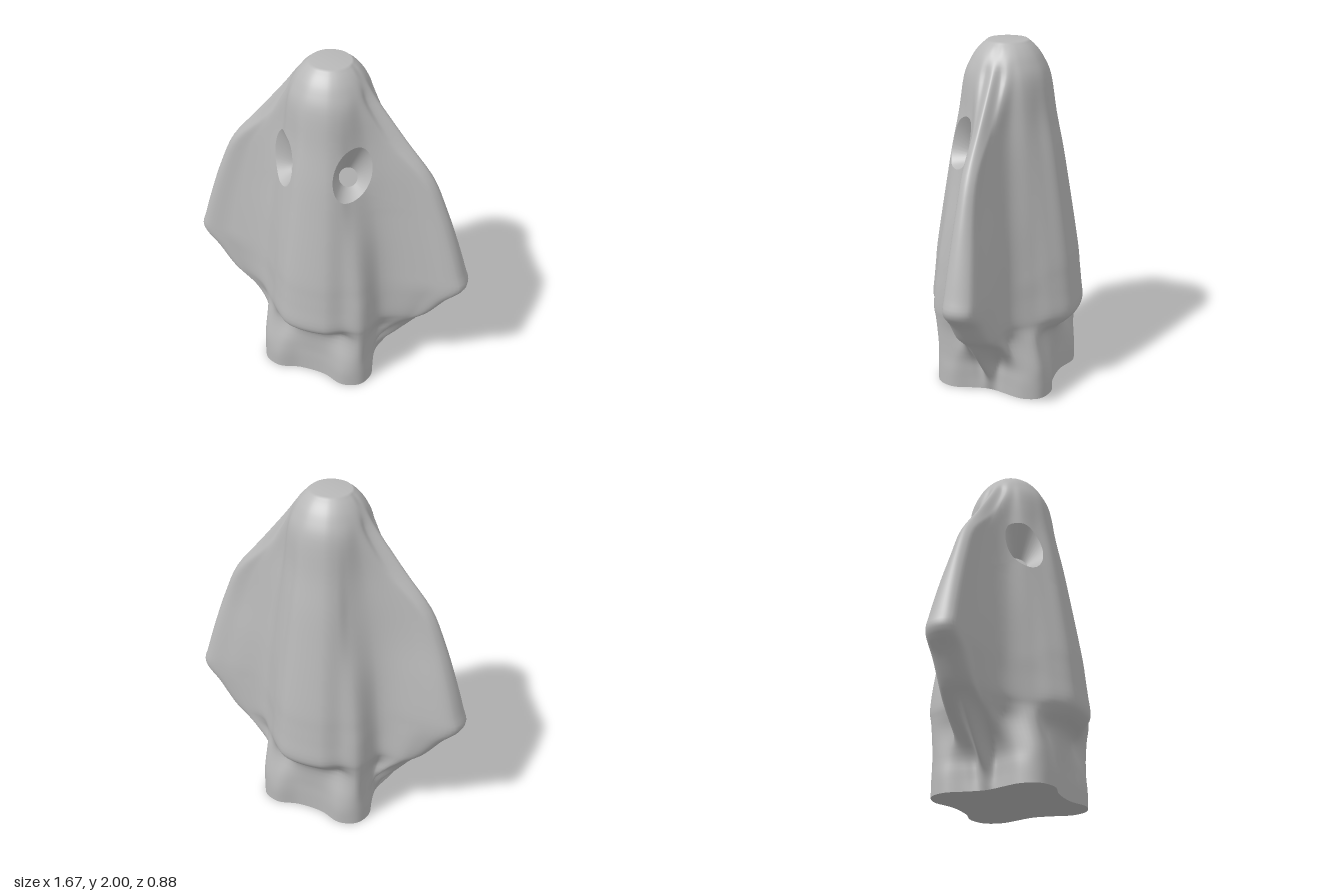
import * as THREE from 'three';
import { mergeVertices } from 'three/addons/utils/BufferGeometryUtils.js';

// Cross-section rows: height, wing reach, body depth, crease x, right and left lobe radius
const ROWS = [
  [0.00, 0.30, 0.30, 0.30, 0.44, 0.42],
  [0.10, 0.34, 0.30, 0.31, 0.44, 0.42],
  [0.20, 0.42, 0.30, 0.32, 0.44, 0.41],
  [0.34, 0.53, 0.32, 0.36, 0.45, 0.39],
  [0.42, 0.59, 0.395, 0.38, 0.455, 0.38],
  [0.48, 0.65, 0.425, 0.39, 0.46, 0.38],
  [0.60, 0.74, 0.415, 0.385, 0.45, 0.37],
  [0.70, 0.83, 0.405, 0.38, 0.435, 0.365],
  [0.80, 0.81, 0.395, 0.37, 0.42, 0.355],
  [1.00, 0.75, 0.365, 0.35, 0.38, 0.335],
  [1.20, 0.68, 0.333, 0.32, 0.33, 0.31],
  [1.40, 0.59, 0.30, 0.29, 0.288, 0.283],
  [1.60, 0.43, 0.263, 0.25, 0.255, 0.255],
  [1.80, 0.272, 0.237, 0.20, 0.23, 0.23],
  [1.90, 0.20, 0.197, 0.17, 0.19, 0.19],
  [1.96, 0.15, 0.155, 0.14, 0.15, 0.15],
  [2.00, 0.11, 0.11, 0.10, 0.11, 0.11],
];
const ANGLES = [0, 12, 22, 33, 46, 60, 75, 103, 122, 140, 150, 160, 170];
// Foot section with four rounded lobes: angle and radius
const FOOT = [[0, 0.3], [9, 0.31], [19, 0.34], [32, 0.41], [45, 0.44], [59, 0.41], [76, 0.32],
  [104, 0.32], [121, 0.4], [135, 0.43], [148, 0.4], [161, 0.34], [171, 0.31]];
const COLS = 26, SUB_U = 6, SUB_V = 4;
const NU = COLS * SUB_U, VMAX = ROWS.length - 1, NV = VMAX * SUB_V;
const { lerp, degToRad, smoothstep } = THREE.MathUtils;
const polar = (deg, r) => [r * Math.cos(degToRad(deg)), r * Math.sin(degToRad(deg))];

// Folded cloth section: half of it listed, the other half turned by 180 degrees
function section([y, W, D, c, A, B]) {
  const s = D / 0.42;
  const t = 0.1 - 0.04 * smoothstep(y, 0.4, 1.5); // wing thickness
  const k = 1 - smoothstep(y, 1.45, 1.97); // folds fade into a round crown
  const foot = 1 - smoothstep(y, 0.1, 0.46); // share of the foot section
  const fold = [
    [W, 0], [W - 0.03, t * 0.7], [(W + c) / 2 + 0.02, t], [c, 0.42 * D],
    polar(46, A),
    [0.22 * s, 0.87 * D], [0.12 * s, D], [-0.1 * s, D], [-0.2 * s, 0.82 * D],
    polar(138, B),
    [-c, 0.36 * D], [-(W + c) / 2 - 0.02, t * 0.85], [-(W - 0.03), t * 0.65],
  ];
  const half = fold.map(([x, z], i) => {
    if (i === 0) return new THREE.Vector3(W, y, 0);
    const [fx, fz] = polar(...FOOT[i]), [cx, cz] = polar(ANGLES[i], D);
    return new THREE.Vector3(lerp(cx, lerp(x, fx, foot), k), y, lerp(cz, lerp(z, fz, foot), k));
  });
  // The wings are fuller behind
  const full = 1 + 0.5 * smoothstep(y, 0.1, 0.4) * (1 - smoothstep(y, 0.8, 1.4));
  const back = half.map((p, i) => new THREE.Vector3(
    -p.x, y, -p.z * (i < 3 || i > 10 ? full : 1)));
  return [...half, ...back];
}

// Smooth surface: u runs round the body, v runs up the rows
const sections = ROWS.map(section);
const columns = Array.from({ length: COLS }, (_, i) =>
  new THREE.CatmullRomCurve3(sections.map(s => s[i]), false, 'catmullrom', 0.5));
const loops = new Map();
function surface(u, v) {
  if (!loops.has(v)) {
    loops.set(v, new THREE.CatmullRomCurve3(
      columns.map(c => c.getPoint(v / VMAX)), true, 'centripetal'));
  }
  return loops.get(v).getPoint(u / COLS);
}

function bisect(lo, hi, isLow) {
  for (let i = 0; i < 30; i++) {
    const mid = (lo + hi) / 2;
    if (isLow(mid)) lo = mid; else hi = mid;
  }
  return (lo + hi) / 2;
}

const tri = (out, ...pts) => pts.forEach(p => out.push(p.x, p.y, p.z));
function quad(out, a, b, c, d) { tri(out, a, b, c, a, c, d); }
function makeMesh(name, positions, material) {
  let g = new THREE.BufferGeometry();
  g.setAttribute('position', new THREE.Float32BufferAttribute(positions, 3));
  g = mergeVertices(g, 1e-5);
  g.computeVertexNormals();
  const m = new THREE.Mesh(g, material);
  m.name = name;
  return m;
}

// Band of quads between two matching closed rings
function band(out, outer, inner) {
  outer.forEach((p, k) => {
    const n = (k + 1) % outer.length;
    quad(out, p, inner[k], inner[n], outer[n]);
  });
}

export function createModel() {
  const group = new THREE.Group();
  group.name = 'ghost';
  const cloth = new THREE.MeshStandardMaterial({ color: 0xb8b8b8 });
  cloth.name = 'grey cloth';

  // Surface patches that are replaced by rings around the eye openings
  const v0 = 10, v1 = 12.5;
  const eyes = [
    { name: 'leftEye', side: 1, u0: 2, u1: 6 },
    { name: 'rightEye', side: -1, u0: 7, u1: 11 },
  ];

  // Draped body
  const grid = [];
  for (let j = 0; j <= NV; j++) {
    grid.push(Array.from({ length: NU }, (_, i) => surface(i / SUB_U, j / SUB_V)));
  }
  const body = [];
  for (let j = 0; j < NV; j++) for (let i = 0; i < NU; i++) {
    const u = (i + 0.5) / SUB_U, v = (j + 0.5) / SUB_V, n = (i + 1) % NU;
    if (v > v0 && v < v1 && eyes.some(e => u > e.u0 && u < e.u1)) continue;
    quad(body, grid[j][i], grid[j + 1][i], grid[j + 1][n], grid[j][n]);
  }

  for (const { name, side, u0, u1 } of eyes) {
    // Border of the patch, walked once round
    const border = [];
    const nu = (u1 - u0) * SUB_U, nv = (v1 - v0) * SUB_V;
    for (let i = 0; i < nu; i++) border.push([u0 + i / SUB_U, v0]);
    for (let j = 0; j < nv; j++) border.push([u1, v0 + j / SUB_V]);
    for (let i = 0; i < nu; i++) border.push([u1 - i / SUB_U, v1]);
    for (let j = 0; j < nv; j++) border.push([u0, v1 - j / SUB_V]);

    // Oval opening
    const uc = (u0 + u1) / 2, vc = (v0 + v1) / 2;
    const phis = border.map(([u, v]) =>
      Math.atan2((v - vc) / ((v1 - v0) / 2), -(u - uc) / ((u1 - u0) / 2)));
    const oval = phis.map(phi => {
      const x = side * 0.203 + 0.083 * Math.cos(phi), y = 1.445 + 0.152 * Math.sin(phi);
      const v = bisect(v0, v1, m => columns[0].getPoint(m / VMAX).y < y);
      return [bisect(u0, u1, m => surface(m, v).x > x), v];
    });
    const rings = [0, 0.25, 0.5, 0.75, 1].map(f => border.map(([u, v], k) =>
      surface(u + (oval[k][0] - u) * f, v + (oval[k][1] - v) * f)));
    for (let r = 0; r < 4; r++) band(body, rings[r], rings[r + 1]);

    // Tapered socket ending in a small round floor
    const rim = rings[4];
    const centre = new THREE.Vector3(side * 0.148, 1.37, 0.118);
    const d = new THREE.Vector3(side * 0.06, 0.06, 0.07).normalize();
    const a = new THREE.Vector3(0, 1, 0).cross(d).normalize();
    const b = d.clone().cross(a);
    const floorRing = phis.map(phi => centre.clone()
      .addScaledVector(a, 0.053 * Math.cos(phi)).addScaledVector(b, 0.053 * Math.sin(phi)));
    const socket = [], floor = [];
    band(socket, rim, floorRing);
    floorRing.forEach((p, k) => tri(floor, p, centre, floorRing[(k + 1) % floorRing.length]));
    group.add(makeMesh(name + 'Socket', socket, cloth), makeMesh(name + 'Floor', floor, cloth));
  }

  // Crown closes the body softly; the base is a flat cut
  const base = [];
  const top = new THREE.Vector3(0, 2, 0), bottom = new THREE.Vector3(0, 0, 0);
  for (let i = 0; i < NU; i++) {
    const n = (i + 1) % NU;
    tri(body, grid[NV][n], grid[NV][i], top);
    tri(base, grid[0][i], grid[0][n], bottom);
  }
  group.add(makeMesh('drapedBody', body, cloth), makeMesh('base', base, cloth));
  return group;
}
